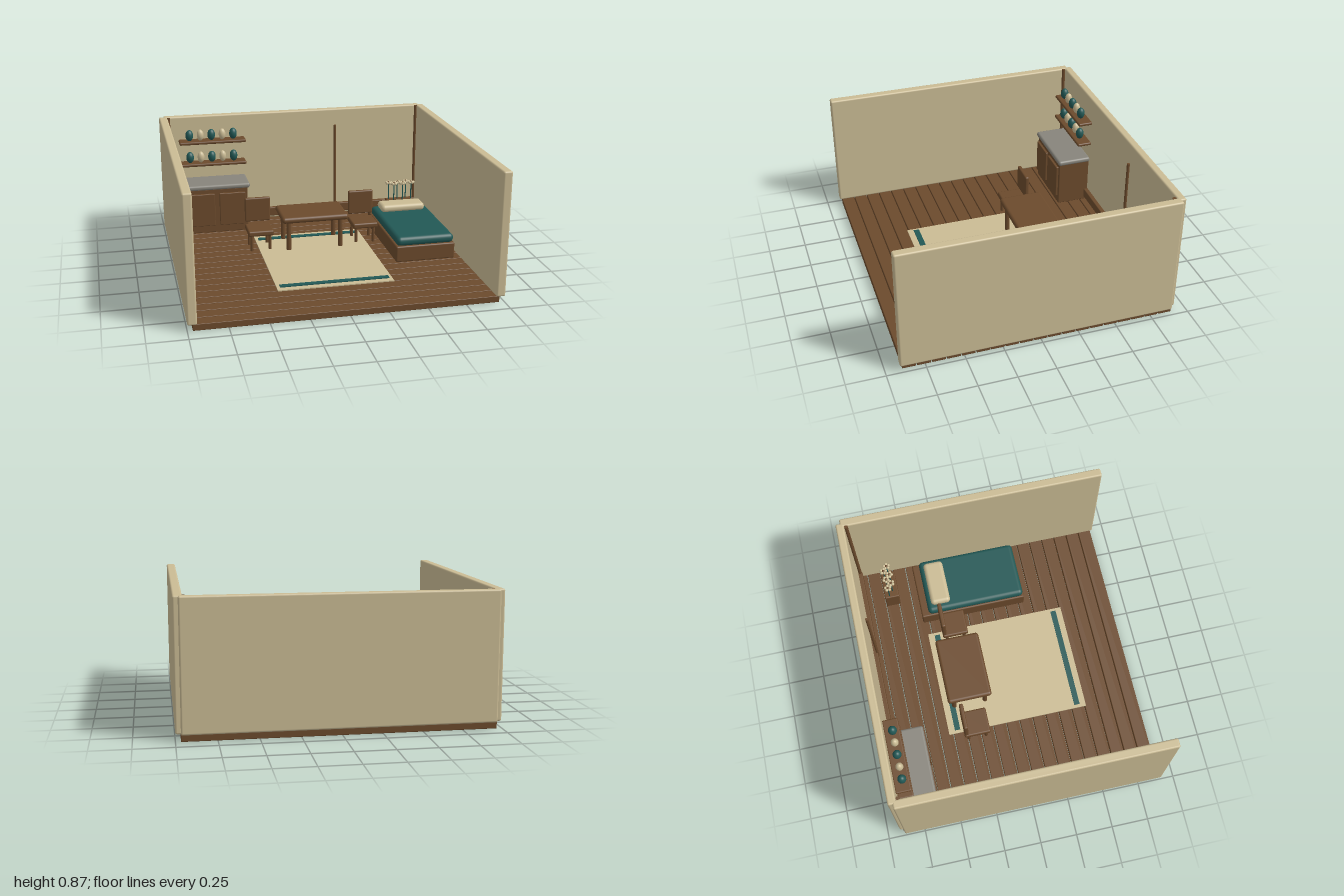
import * as THREE from 'three';
import { RoundedBoxGeometry } from 'three/addons/geometries/RoundedBoxGeometry.js';

const material = (name, color) => {
  const m = new THREE.MeshStandardMaterial({ color });
  m.name = name;
  return m;
};

export function createModel() {
  const plaster = material('plaster', 0xcabb94);
  const wood = material('wood', 0x6b4a2c);
  const teal = material('teal', 0x225855);
  const stone = material('stone', 0x87847b);
  const model = new THREE.Group();
  model.name = 'cabinRoom';

  const group = (name, x = 0, y = 0, z = 0) => {
    const g = new THREE.Group();
    g.name = name;
    g.position.set(x, y, z);
    model.add(g);
    return g;
  };
  const add = (parent, name, geometry, mat, x, y, z) => {
    const mesh = new THREE.Mesh(geometry, mat);
    mesh.name = name;
    mesh.position.set(x, y, z);
    parent.add(mesh);
    return mesh;
  };
  // Rounded block given by its lower and upper bounds on each axis
  const block = (parent, name, mat, [x0, x1], [y0, y1], [z0, z1], r = 0.006) => {
    const w = x1 - x0, h = y1 - y0, d = z1 - z0;
    const geometry = r > 0 ? new RoundedBoxGeometry(w, h, d, 3, Math.min(r, w * 0.49, h * 0.49, d * 0.49))
      : new THREE.BoxGeometry(w, h, d);
    return add(parent, name, geometry, mat, (x0 + x1) / 2, (y0 + y1) / 2, (z0 + z1) / 2);
  };
  const rod = (parent, name, mat, r, x, y0, y1, z) =>
    add(parent, name, new THREE.CylinderGeometry(r, r, y1 - y0, 12), mat, x, (y0 + y1) / 2, z);

  const FLOOR = 0.043;

  // Plank floor
  const floor = group('floor');
  const pitch = 0.0945;
  for (let i = 0; i < 19; i++) {
    const z = (i - 9) * pitch;
    block(floor, 'plank', wood, [-0.967, 0.967], [0, FLOOR], [z - 0.0442, z + 0.0442], 0.004);
  }

  // Walls with skirting and corner trim
  const walls = group('walls');
  block(walls, 'backWall', plaster, [-0.967, 0.967], [FLOOR, 0.868], [-0.916, -0.862], 0.012);
  for (const s of [-1, 1]) {
    block(walls, 'sideWall', plaster, [s * 0.97 - 0.03, s * 0.97 + 0.03], [FLOOR, 0.868], [-0.886, 0.912], 0.012);
    rod(walls, 'cornerTrim', wood, 0.012, s * 0.935, FLOOR, 0.866, -0.848);
  }
  block(walls, 'skirting', wood, [-0.94, 0.94], [0.065, 0.13], [-0.868, -0.832]);
  rod(walls, 'wallPole', wood, 0.01, 0.302, 0.06, 0.75, -0.835);

  // Cabinet with two raised doors and a stone worktop
  const cabinet = group('cabinet');
  block(cabinet, 'cabinetBody', wood, [-0.85, -0.4], [FLOOR, 0.375], [-0.86, -0.63]);
  for (const x of [-0.737, -0.513])
    block(cabinet, 'cabinetDoor', wood, [x - 0.095, x + 0.095], [0.1, 0.343], [-0.64, -0.613], 0.005);
  block(cabinet, 'worktop', stone, [-0.87, -0.382], [0.37, 0.407], [-0.862, -0.62], 0.016);

  // Shelves with rows of alternating egg-shaped jars
  const shelves = group('shelves');
  const jarGeometry = new THREE.SphereGeometry(1, 20, 14);
  for (const top of [0.698, 0.532]) {
    block(shelves, 'shelf', wood, [-0.868, -0.383], [top - 0.022, top], [-0.865, -0.762], 0.009);
    for (let i = 0; i < 5; i++) {
      const r = i % 2 ? 0.025 : 0.028;
      add(shelves, 'jar', jarGeometry, i % 2 ? plaster : teal, -0.793 + i * 0.08, top + 0.04, -0.807)
        .scale.set(r, 0.041, r);
    }
  }

  // Rug with a stripe near each end
  const rug = group('rug');
  block(rug, 'rugCloth', plaster, [-0.387, 0.383], [FLOOR, 0.05], [-0.455, 0.53], 0);
  for (const z of [-0.392, 0.469])
    block(rug, 'rugStripe', teal, [-0.365, 0.362], [0.05, 0.056], [z - 0.019, z + 0.019], 0);

  // Table
  const table = group('table', 0, 0, -0.268);
  block(table, 'tabletop', wood, [-0.235, 0.235], [0.252, 0.295], [-0.153, 0.153], 0.02);
  for (const x of [-0.185, 0.185]) for (const z of [-0.11, 0.11])
    rod(table, 'tableLeg', wood, 0.017, x, FLOOR, 0.26, z);

  // Two matching chairs
  for (const x of [-0.375, 0.375]) {
    const chair = group('chair', x, 0, -0.265);
    block(chair, 'seat', wood, [-0.09, 0.09], [0.155, 0.193], [-0.09, 0.09], 0.012);
    block(chair, 'backrest', wood, [-0.09, 0.09], [0.215, 0.388], [-0.09, -0.062], 0.01);
    for (const lx of [-0.064, 0.064]) for (const lz of [-0.062, 0.062])
      rod(chair, 'chairLeg', wood, 0.011, lx, FLOOR, 0.165, lz);
  }

  // Bed
  const bed = group('bed');
  block(bed, 'bedFrame', wood, [0.47, 0.882], [0.065, 0.177], [-0.47, 0.277], 0.01);
  block(bed, 'mattress', teal, [0.476, 0.878], [0.172, 0.237], [-0.42, 0.27], 0.03);
  block(bed, 'pillow', plaster, [0.515, 0.836], [0.23, 0.286], [-0.39, -0.252], 0.026);

  // Flower box: stems, petals and round centres
  const planter = group('flowerBox');
  block(planter, 'planterBox', wood, [0.665, 0.868], [FLOOR, 0.19], [-0.705, -0.602], 0.008);
  const petal = new THREE.SphereGeometry(0.011, 10, 8);
  const centre = new THREE.SphereGeometry(0.01, 10, 8);
  for (let i = 0; i < 6; i++) {
    const x = 0.683 + i * 0.034, z = -0.655 + (i % 2 ? 0.014 : -0.014) - (i > 3 ? 0.008 : 0);
    rod(planter, 'stem', teal, 0.004, x, 0.18, 0.32, z);
    add(planter, 'flowerCentre', centre, wood, x, 0.322, z);
    for (let k = 0; k < 5; k++) {
      const a = k * Math.PI * 0.4 + i;
      add(planter, 'petal', petal, plaster, x + Math.cos(a) * 0.017, 0.32, z + Math.sin(a) * 0.017);
    }
  }
  return model;
}
